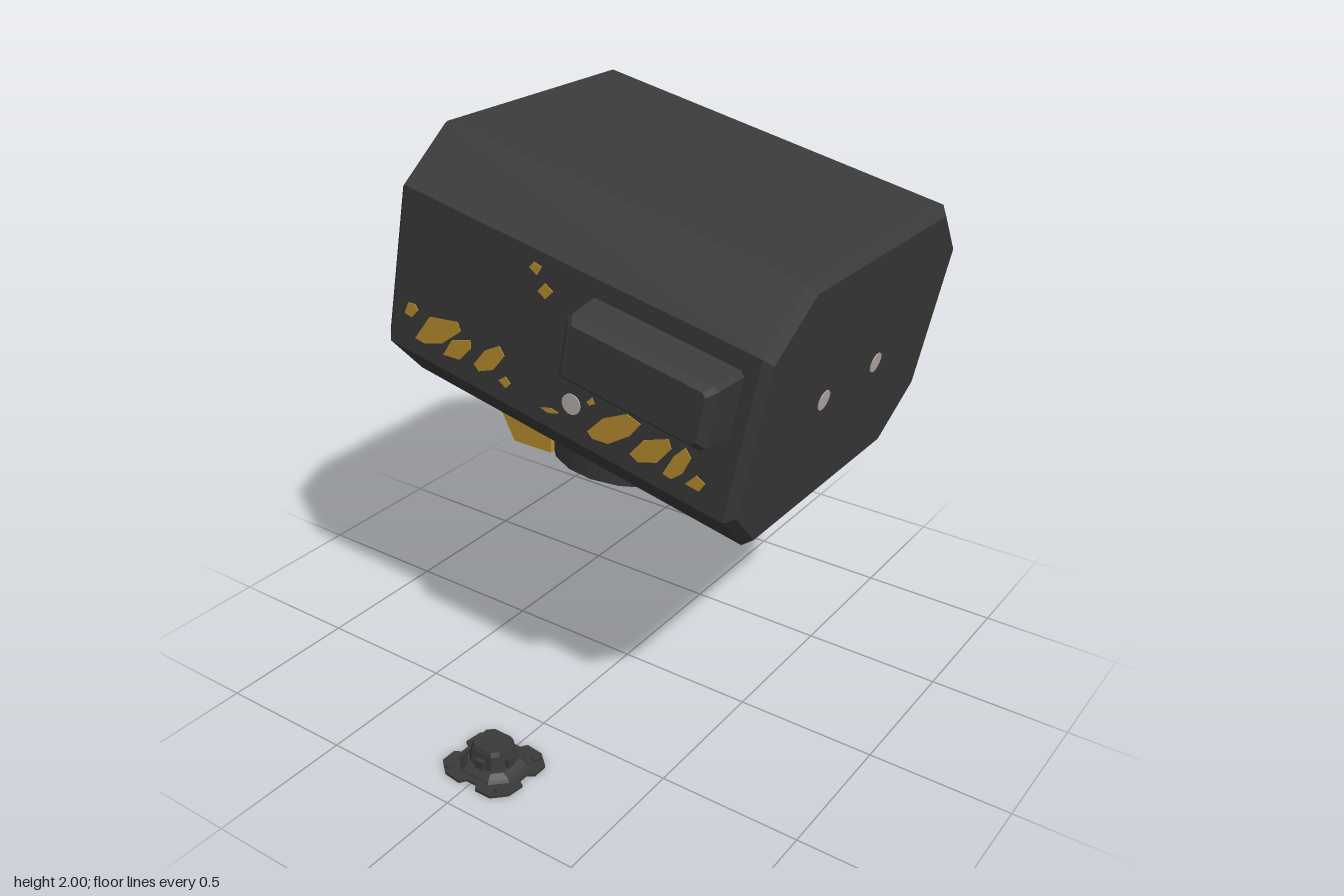
import * as THREE from 'three';
import { toCreasedNormals } from 'three/addons/utils/BufferGeometryUtils.js';

const flat = (name, color, extra = {}) =>
  Object.assign(new THREE.MeshStandardMaterial({ color, ...extra }), { name });

// Octagonal cross-section: half width, half height, corner cut, position along z
function octagon(w, h, c, z) {
  return [[w, c - h], [w, h - c], [w - c, h], [c - w, h], [-w, h - c], [-w, c - h], [c - w, -h], [w - c, -h]]
    .map(([x, y]) => new THREE.Vector3(x, y, z));
}

// Flat-faced skin over a run of cross-sections, closed at both ends
function loft(rings) {
  const pts = [];
  const n = rings[0].length;
  const last = rings[rings.length - 1];
  for (let r = 0; r < rings.length - 1; r++) {
    for (let i = 0; i < n; i++) {
      const j = (i + 1) % n, a = rings[r], b = rings[r + 1];
      pts.push(a[i], a[j], b[j], a[i], b[j], b[i]);
    }
  }
  for (let i = 1; i < n - 1; i++) {
    pts.push(rings[0][0], rings[0][i + 1], rings[0][i]);
    pts.push(last[0], last[i], last[i + 1]);
  }
  const g = new THREE.BufferGeometry().setFromPoints(pts);
  g.computeVertexNormals();
  return g;
}

const shapeOf = (points) => new THREE.Shape(points.map(([x, y]) => new THREE.Vector2(x, y)));

export function createModel() {
  const dark = flat('dark casing', 0x3a3a3a);
  const darkOpen = flat('dark casing open', 0x3a3a3a, { side: THREE.DoubleSide });
  const yellow = flat('warning yellow', 0xba8e2f);
  const white = flat('pale dot', 0xb9b0ac);

  const model = new THREE.Group();
  model.name = 'sensorUnit';
  const add = (parent, name, geometry, material, x = 0, y = 0, z = 0) => {
    const mesh = new THREE.Mesh(geometry, material);
    mesh.name = name;
    mesh.position.set(x, y, z);
    parent.add(mesh);
    return mesh;
  };

  const midZ = -0.155;
  const head = new THREE.Group();
  head.name = 'head';
  head.position.set(0.075, 1.417, midZ);
  head.rotation.z = -0.2;
  model.add(head);

  // Casing: bevelled octagonal prism with a recess in its -x end
  const casing = loft([
    octagon(0.545, 0.382, 0.16, -0.574),
    octagon(0.55, 0.387, 0.165, -0.694),
    octagon(0.595, 0.433, 0.17, -0.694),
    octagon(0.62, 0.4575, 0.175, -0.667),
    octagon(0.62, 0.4575, 0.175, 0.667),
    octagon(0.595, 0.433, 0.17, 0.694),
  ]).rotateY(Math.PI / 2);
  add(head, 'casing', casing, dark);

  // Three lens barrels inside the recess
  const barrel = toCreasedNormals(new THREE.LatheGeometry(
    [[0.155, 0], [0.155, 0.08], [0.147, 0.09], [0.125, 0.09], [0.12, 0.06], [0, 0.06]]
      .map(([x, y]) => new THREE.Vector2(x, y)), 32), 0.5).rotateZ(Math.PI / 2);
  for (const [y, z] of [[-0.09, -0.325], [0.13, 0], [-0.09, 0.325]]) {
    add(head, 'lensBarrel', barrel, darkOpen, -0.574, y, z);
  }

  // Raised side pods
  const pod = loft([
    octagon(0.272, 0.118, 0.015, -0.01),
    octagon(0.262, 0.108, 0.015, 0.118),
    octagon(0.24, 0.086, 0.012, 0.143),
  ]);
  for (const s of [1, -1]) {
    const mesh = add(head, 'sidePod', pod, dark, 0.353, 0.105, s * 0.62);
    if (s < 0) mesh.rotation.y = Math.PI;
  }

  // Pale dots on both ends
  const dot = new THREE.CylinderGeometry(0.035, 0.035, 0.006, 16);
  const endDot = dot.clone().rotateZ(Math.PI / 2);
  for (const s of [1, -1]) {
    add(head, 'endDot', endDot, white, 0.694, -0.02, s * 0.175);
    add(head, 'rimDot', endDot, white, -0.694, -0.325, s * 0.495).scale.set(1, 0.6, 0.6);
  }

  // Worn hazard stripes and a dot on both flanks, in hundredths of a unit
  const stripes = [
    [[-56, 139], [-54, 143], [-51, 143], [-50, 141], [-53, 138]],
    [[-52, 131], [-45, 140], [-33, 141], [-32, 138], [-40, 132], [-48, 130]],
    [[-40, 128], [-36, 134], [-28, 136], [-28, 133], [-33, 128]],
    [[-27, 128], [-22, 134], [-16, 137], [-14, 134], [-19, 128], [-25, 126]],
    [[-17, 125], [-14, 127], [-12, 125], [-14, 123]],
    [[0, 120], [4, 121], [7, 120], [3, 119]],
    [[18, 127], [20, 129], [21, 127], [19, 126]],
    [[18, 117], [24, 123], [33, 127], [38, 125], [34, 120], [26, 115], [20, 115]],
    [[34, 114], [39, 120], [48, 123], [49, 120], [44, 114], [37, 112]],
    [[46, 111], [50, 118], [54, 122], [56, 119], [53, 113], [49, 110]],
    [[54, 110], [58, 114], [61, 112], [59, 109]],
    [[-3, 166], [-1, 168], [2, 167], [0, 164]],
    [[0, 159], [3, 162], [6, 160], [3, 157]],
  ];
  const flankDot = dot.clone().rotateX(Math.PI / 2);
  for (const s of [1, -1]) {
    const face = midZ + s * 0.62;
    for (const stripe of stripes) {
      const plate = new THREE.ExtrudeGeometry(
        shapeOf(stripe.map(([x, y]) => [x / 100, y / 100])), { depth: 0.006, bevelEnabled: false });
      add(model, 'hazardStripe', plate, yellow, 0, 0, face - 0.003);
    }
    add(model, 'flankDot', flankDot, white, 0.12, 1.245, face + s * 0.001);
  }

  // Hollow neck ring under the head
  add(model, 'neck', new THREE.CylinderGeometry(0.34, 0.34, 0.3, 20, 1, true), darkOpen, -0.02, 0.965, midZ);

  // Pair of hooked brackets
  const bracket = new THREE.ExtrudeGeometry(shapeOf([
    [-0.80, 1.225], [-0.845, 1.085], [-0.50, 0.975], [-0.415, 0.815],
    [-0.25, 0.815], [-0.25, 1.1], [-0.66, 1.13], [-0.69, 1.225],
  ]), { depth: 0.105, bevelEnabled: false });
  for (const s of [1, -1]) {
    add(model, 'bracket', bracket, yellow, 0, 0, midZ + s * 0.212 - 0.0525);
  }

  // Small floor mount, standing apart from the head
  const mount = new THREE.Group();
  mount.name = 'floorMount';
  mount.position.set(0.002, 0, 0.77);
  model.add(mount);
  const standing = (rings) => loft(rings).rotateX(-Math.PI / 2);

  // Base plate with cut corners and a notch in each side
  const quarter = [[0.148, -0.035], [0.125, -0.02], [0.125, 0.02], [0.148, 0.035], [0.148, 0.095], [0.1, 0.14]];
  const outline = [];
  for (let k = 0; k < 4; k++) {
    const a = k * Math.PI / 2;
    for (const [x, y] of quarter) {
      outline.push([x * Math.cos(a) - y * Math.sin(a), (x * Math.sin(a) + y * Math.cos(a)) * 0.92]);
    }
  }
  add(mount, 'basePlate', new THREE.ExtrudeGeometry(shapeOf(outline), { depth: 0.01, bevelEnabled: false })
    .rotateX(-Math.PI / 2), dark);
  add(mount, 'baseStep', standing([
    octagon(0.108, 0.1, 0.05, 0.008), octagon(0.1, 0.092, 0.046, 0.02), octagon(0.078, 0.074, 0.03, 0.035),
  ]), dark);
  add(mount, 'post', standing([
    octagon(0.07, 0.066, 0.025, 0.03), octagon(0.06, 0.058, 0.02, 0.085), octagon(0.055, 0.052, 0.02, 0.1),
  ]), dark);

  // Ribs on the post and bolts in the plate corners
  for (let k = 0; k < 4; k++) {
    const a = k * Math.PI / 2;
    add(mount, 'rib', new THREE.BoxGeometry(0.025, 0.05, 0.035), dark,
      0.067 * Math.cos(a), 0.04, 0.063 * Math.sin(a)).rotation.y = a;
    add(mount, 'bolt', new THREE.CylinderGeometry(0.016, 0.018, 0.012, 6), dark,
      0.105 * Math.sign(Math.cos(a + 0.7)), 0.013, 0.097 * Math.sign(Math.sin(a + 0.7)));
  }
  return model;
}
